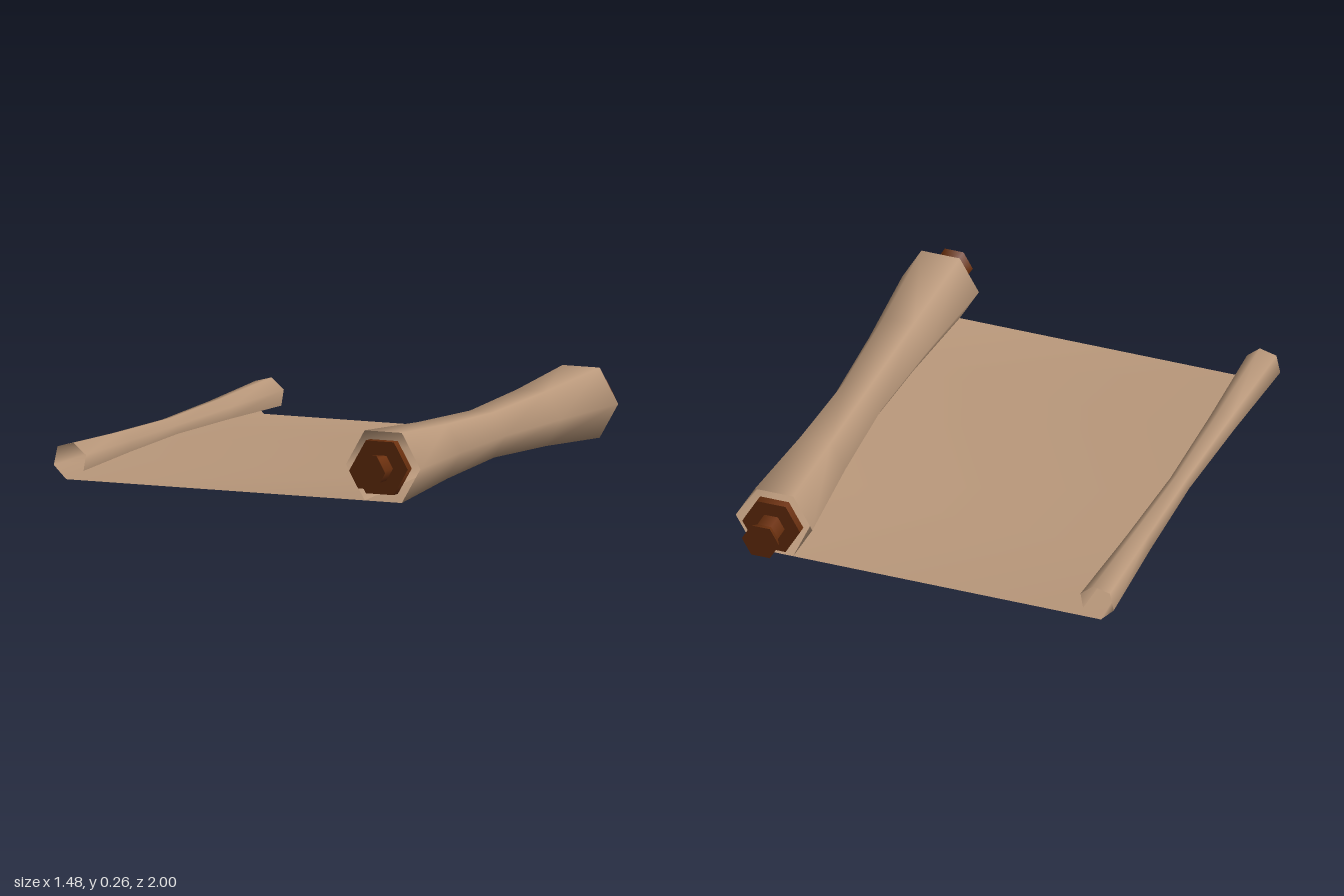
import * as THREE from 'three';

const ROLL = { x: 0.59, y: 0.13 };
const CURL = { x: -0.67, y: 0.07 };
// rows along the sheet: z, roll radius, curl scale
const ROWS = [
  [-0.86, 0.15, 1], [-0.43, 0.117, 0.74], [0, 0.097, 0.58],
  [0.43, 0.117, 0.74], [0.86, 0.15, 1],
];
// loose curl at the left end, relative to its centre
const CURL_PATH = [
  [0.05, -0.035], [0.06, 0.025], [0.01, 0.067], [-0.055, 0.05], [-0.07, -0.02], [-0.02, -0.07],
];

// Cross-section: curl, then the flat sheet, then the hexagonal roll
function section(radius, scale) {
  const pts = CURL_PATH.map(([x, y]) => [CURL.x + x * scale, CURL.y + y * scale]);
  for (let i = 0; i < 6; i++) {
    const a = -Math.PI / 3 + i * Math.PI / 3;
    pts.push([ROLL.x + radius * Math.cos(a), ROLL.y + radius * Math.sin(a)]);
  }
  return pts;
}

// One continuous piece of parchment, pinched at the middle row
function makeParchment() {
  const positions = [], index = [];
  let n = 0;
  for (const [z, radius, scale] of ROWS) {
    const pts = section(radius, scale);
    n = pts.length;
    for (const [x, y] of pts) positions.push(x, y, z);
  }
  for (let r = 0; r < ROWS.length - 1; r++) {
    for (let i = 0; i < n - 1; i++) {
      const a = r * n + i, b = a + n;
      index.push(a, b, a + 1, b, b + 1, a + 1);
    }
  }
  const geo = new THREE.BufferGeometry();
  geo.setAttribute('position', new THREE.Float32BufferAttribute(positions, 3));
  geo.setIndex(index);
  geo.computeVertexNormals();
  return geo;
}

export function createModel() {
  const group = new THREE.Group();
  group.name = 'scroll';
  const paper = new THREE.MeshStandardMaterial({ color: 0xb8977a, side: THREE.DoubleSide });
  const wood = new THREE.MeshStandardMaterial({ color: 0x6b300e });

  const parchment = new THREE.Mesh(makeParchment(), paper);
  parchment.name = 'parchment';
  group.add(parchment);

  // Hexagonal wooden handle at each end of the roll
  const parts = [
    // name, inner radius, outer radius, z start, z end
    ['collar', 0.113, 0.113, 0.855, 0.89],
    ['neck', 0.053, 0.053, 0.88, 0.96],
    ['knob', 0.053, 0.073, 0.96, 1],
  ];
  for (const side of [1, -1]) {
    const handle = new THREE.Group();
    handle.name = side > 0 ? 'frontHandle' : 'backHandle';
    for (const [name, rIn, rOut, z0, z1] of parts) {
      const geo = new THREE.CylinderGeometry(rOut, rIn, z1 - z0, 6, 1, false, Math.PI / 6);
      geo.rotateX(Math.PI / 2);
      geo.translate(0, 0, (z0 + z1) / 2);
      const mesh = new THREE.Mesh(geo, wood);
      mesh.name = name;
      handle.add(mesh);
    }
    handle.position.set(ROLL.x, ROLL.y, 0);
    if (side < 0) handle.rotation.y = Math.PI;
    group.add(handle);
  }
  return group;
}
